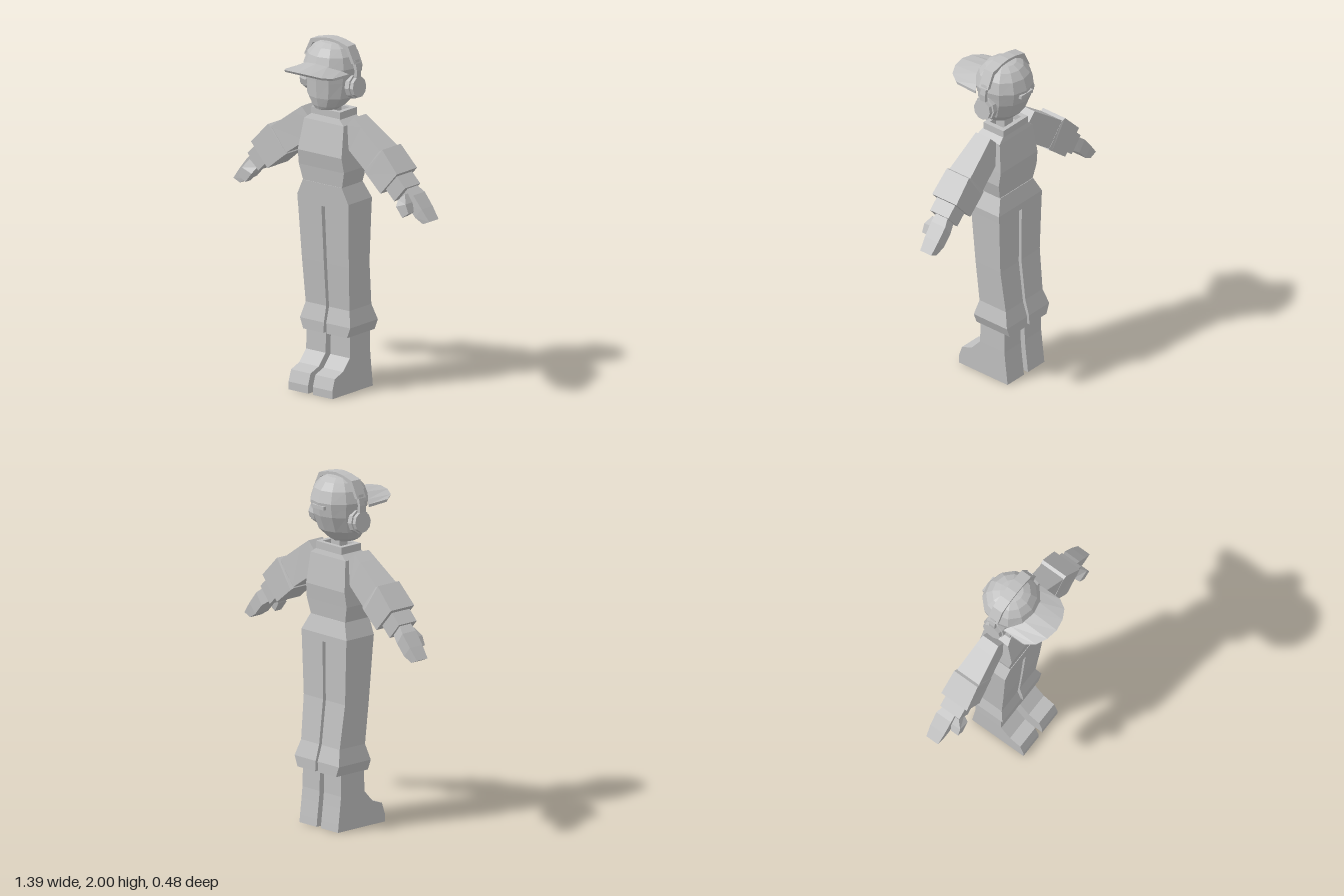
import * as THREE from 'three';

const grey = new THREE.MeshStandardMaterial({ color: 0xc0c0c0, flatShading: true });
grey.name = 'plain grey';

// Skin a list of equal-length rings of [x, y, z] points and cap both ends
function loft(rings) {
  const tris = [];
  const n = rings[0].length;
  for (let r = 0; r < rings.length - 1; r++) {
    for (let i = 0; i < n; i++) {
      const j = (i + 1) % n;
      const a = rings[r][i], b = rings[r][j], c = rings[r + 1][j], d = rings[r + 1][i];
      tris.push([a, b, c], [a, c, d]);
    }
  }
  const last = rings[rings.length - 1];
  for (let i = 1; i < n - 1; i++) {
    tris.push([rings[0][0], rings[0][i + 1], rings[0][i]]);
    tris.push([last[0], last[i], last[i + 1]]);
  }
  // Turn the faces outward when the signed volume is negative
  const v = (p) => new THREE.Vector3(...p);
  const volume = tris.reduce((s, [a, b, c]) => s + v(a).dot(v(b).cross(v(c))), 0);
  if (volume < 0) tris.forEach((t) => t.reverse());
  const geo = new THREE.BufferGeometry();
  geo.setAttribute('position', new THREE.Float32BufferAttribute(tris.flat(2), 3));
  geo.computeVertexNormals();
  return geo;
}

// Level rectangle at height y
const rect = (y, x0, x1, z0, z1) => [[x0, y, z1], [x1, y, z1], [x1, y, z0], [x0, y, z0]];

// Level ellipse at height y with a corner at the front
const oval = (y, rx, z0, z1, n = 12) => Array.from({ length: n }, (_, i) => {
  const a = (i / n) * Math.PI * 2;
  return [rx * Math.sin(a), y, (z0 + z1) / 2 + ((z1 - z0) / 2) * Math.cos(a)];
});

// Limb section from an upper to a lower point, spanning z0 to z1
const slab = (s, tx, ty, bx, by, z0, z1) =>
  [[s * tx, ty, z1], [s * tx, ty, z0], [s * bx, by, z0], [s * bx, by, z1]];

export function createModel() {
  const model = new THREE.Group();
  model.name = 'figure';
  const add = (name, geo, parent = model) => {
    const mesh = new THREE.Mesh(geo, grey);
    mesh.name = name;
    parent.add(mesh);
    return mesh;
  };

  // Torso and hips
  add('torso', loft([
    [1.18, 0.138, -0.155, 0.022], [1.27, 0.16, -0.165, 0.032], [1.355, 0.155, -0.175, 0.047],
    [1.53, 0.14, -0.155, 0.01], [1.56, 0.1, -0.147, 0],
  ].map(([y, x, z0, z1]) => rect(y, -x, x, z0, z1))));
  add('hips', loft([
    [1.05, 0.179, -0.185, 0.018], [1.09, 0.181, -0.185, 0.02], [1.18, 0.138, -0.158, 0.025],
  ].map(([y, x, z0, z1]) => rect(y, -x, x, z0, z1))));

  // Open collar around the neck
  const ring = new THREE.Shape();
  ring.moveTo(-0.103, 0.005).lineTo(0.103, 0.005).lineTo(0.103, 0.15).lineTo(-0.103, 0.15).closePath();
  const hole = new THREE.Path();
  hole.moveTo(-0.075, 0.03).lineTo(-0.075, 0.125).lineTo(0.075, 0.125).lineTo(0.075, 0.03).closePath();
  ring.holes.push(hole);
  const collar = new THREE.ExtrudeGeometry(ring, { depth: 0.042, bevelEnabled: false });
  collar.rotateX(-Math.PI / 2).translate(0, 1.557, 0);
  add('collar', collar);
  add('neck', new THREE.BoxGeometry(0.07, 0.12, 0.06).translate(0, 1.6, -0.07));

  // Head and jaw
  add('head', loft([
    [1.61, 0.065, -0.1, 0.05], [1.63, 0.095, -0.125, 0.06], [1.68, 0.135, -0.178, 0.074],
    [1.77, 0.15, -0.215, 0.08], [1.84, 0.155, -0.225, 0.085],
  ].map((p) => oval(...p))));

  // Cap dome, brim and back strap
  const cap = new THREE.Group();
  cap.name = 'cap';
  model.add(cap);
  add('dome', loft([
    [1.815, 0.16, -0.228, 0.088], [1.85, 0.165, -0.232, 0.094], [1.915, 0.145, -0.21, 0.07],
    [1.957, 0.11, -0.175, 0.035], [1.978, 0.07, -0.135, -0.005], [1.984, 0.02, -0.09, -0.05],
  ].map((p) => oval(...p))), cap);
  const half = [[0, 0.24], [0.07, 0.227], [0.13, 0.195], [0.165, 0.14]];
  const outline = [...half.slice(1).reverse().map(([x, z]) => [-x, z]), ...half];
  add('brim', loft(outline.map(([x, tip]) => {
    const droop = 0.05 * (x / 0.165) ** 2;
    const root = -0.07 + 0.15 * Math.sqrt(Math.max(0.2, 1 - (x / 0.165) ** 2));
    const yr = 1.88 - droop, yt = 1.862 - droop * 0.55;
    return [[x, yr, root], [x, yt, tip], [x, yt - 0.014, tip - 0.01], [x, yr - 0.016, root]];
  })), cap);
  add('backStrap', new THREE.BoxGeometry(0.1, 0.02, 0.02).translate(0, 1.825, -0.224), cap);

  // Headphones
  const phones = new THREE.Group();
  phones.name = 'headphones';
  model.add(phones);
  const arc = [
    [-0.178, 1.88, -0.156, 1.88], [-0.132, 1.974, -0.118, 1.954], [-0.06, 1.993, -0.055, 1.972],
    [0.06, 1.993, 0.055, 1.972], [0.132, 1.974, 0.118, 1.954], [0.178, 1.88, 0.156, 1.88],
  ];
  arc.splice(3, 0, [0, 2, 0, 1.978]);
  add('headband', loft(arc.map((p) => slab(1, ...p, -0.1, -0.036))), phones);

  for (const s of [1, -1]) {
    const side = s > 0 ? 'left' : 'right';

    // Ear cup, cushion and band arm
    const disc = (r, d, x) => new THREE.CylinderGeometry(r, r, d, 10)
      .rotateZ(Math.PI / 2).rotateZ(s * 0.1).translate(s * x, 1.745, -0.068);
    add(side + 'Cushion', disc(0.068, 0.03, 0.152), phones);
    add(side + 'EarCup', disc(0.058, 0.028, 0.175), phones);
    add(side + 'BandArm', loft([
      slab(s, 0.182, 1.77, 0.162, 1.77, -0.087, -0.05),
      slab(s, 0.185, 1.84, 0.167, 1.84, -0.087, -0.05),
      slab(s, 0.172, 1.9, 0.152, 1.89, -0.087, -0.05),
    ]), phones);

    // Sleeve with a raised step at the elbow
    add(side + 'UpperSleeve', loft([
      slab(s, 0.185, 1.58, 0.128, 1.52, -0.128, -0.022),
      slab(s, 0.24, 1.54, 0.155, 1.39, -0.136, -0.017),
      slab(s, 0.392, 1.428, 0.29, 1.292, -0.155, -0.003),
    ]));
    add(side + 'LowerSleeve', loft([
      slab(s, 0.38, 1.428, 0.275, 1.294, -0.155, -0.002),
      slab(s, 0.405, 1.442, 0.295, 1.28, -0.16, 0),
      slab(s, 0.517, 1.325, 0.4, 1.193, -0.165, 0.01),
    ]));
    add(side + 'Cuff', loft([
      slab(s, 0.495, 1.31, 0.42, 1.22, -0.142, -0.01),
      slab(s, 0.558, 1.248, 0.482, 1.16, -0.142, -0.01),
    ]));

    // Hand and thumb
    add(side + 'Hand', loft([
      slab(s, 0.54, 1.245, 0.495, 1.175, -0.125, -0.045),
      slab(s, 0.588, 1.205, 0.545, 1.14, -0.145, -0.045),
      slab(s, 0.645, 1.135, 0.598, 1.08, -0.143, -0.048),
      slab(s, 0.694, 1.07, 0.648, 1.05, -0.135, -0.055),
    ]));
    add(side + 'Thumb', loft([
      slab(s, 0.55, 1.21, 0.5, 1.17, -0.07, -0.02),
      slab(s, 0.58, 1.165, 0.512, 1.14, -0.05, 0.012),
      slab(s, 0.6, 1.115, 0.556, 1.085, -0.035, 0.012),
    ]));

    // Trouser leg with a flared hem
    const leg = (rows) => loft(rows.map(([y, x0, x1, z0, z1]) => rect(y, s * x0, s * x1, z0, z1)));
    add(side + 'TrouserLeg', leg([
      [0.32, 0.012, 0.155, -0.24, 0], [0.38, 0.008, 0.178, -0.24, 0], [0.47, 0.01, 0.155, -0.212, -0.022],
      [0.72, 0.011, 0.166, -0.182, -0.003], [1.06, 0.012, 0.179, -0.185, 0.018],
    ]));

    // Boot
    add(side + 'Boot', leg([
      [0, 0.017, 0.155, -0.225, 0.127], [0.045, 0.017, 0.155, -0.22, 0.127],
      [0.11, 0.017, 0.155, -0.212, 0.105], [0.135, 0.017, 0.155, -0.209, 0.035],
      [0.2, 0.017, 0.155, -0.202, -0.025], [0.34, 0.017, 0.153, -0.2, -0.03],
    ]));
  }
  return model;
}
